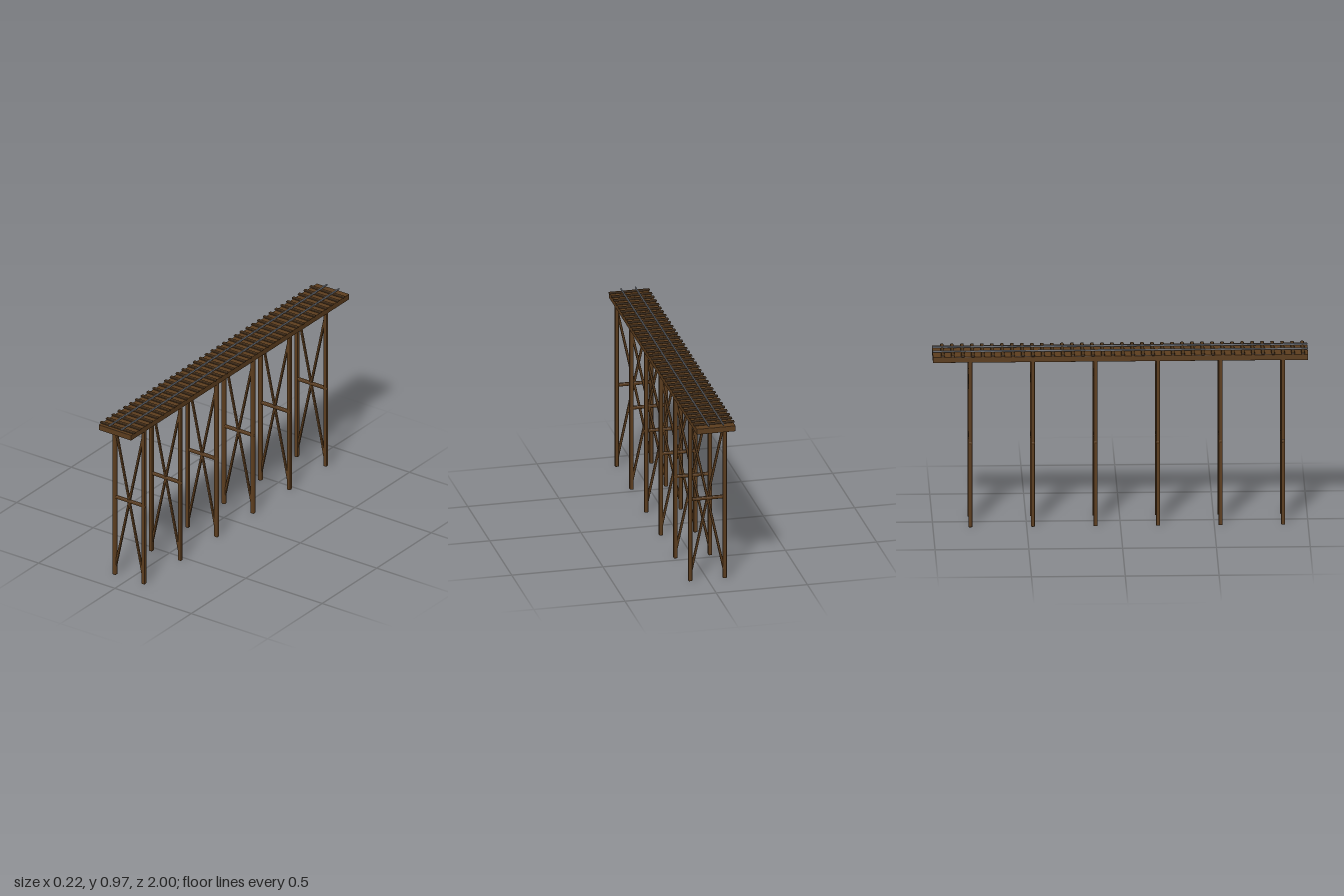
import * as THREE from 'three';
import { RoundedBoxGeometry } from 'three/addons/geometries/RoundedBoxGeometry.js';

const timber = new THREE.MeshStandardMaterial({ color: 0x5c3d1e });
timber.name = 'brown timber';
const darkTimber = new THREE.MeshStandardMaterial({ color: 0x4e351b });
darkTimber.name = 'dark timber';
const steel = new THREE.MeshStandardMaterial({ color: 0x8a8f98 });
steel.name = 'grey steel';

// Timber or rail with rounded edges, placed by its centre
function beam(parent, name, size, pos, material, radius) {
  const geometry = new RoundedBoxGeometry(size[0], size[1], size[2], 2, radius);
  const mesh = new THREE.Mesh(geometry, material);
  mesh.name = name;
  mesh.position.set(...pos);
  parent.add(mesh);
  return mesh;
}

// One support frame: two posts, a cross beam and an X of braces
function createBent(z) {
  const bent = new THREE.Group();
  bent.name = 'supportFrame';
  bent.position.z = z;
  const run = 0.188, rise = 0.872;
  for (const side of [-1, 1]) {
    beam(bent, side > 0 ? 'leftPost' : 'rightPost', [0.0215, 0.925, 0.0215], [side * 0.0945, 0.4625, 0], timber, 0.005);
    const brace = beam(bent, 'diagonalBrace', [0.0135, Math.hypot(run, rise), 0.0125], [0, 0.469, side * 0.001], timber, 0.004);
    brace.rotation.z = side * Math.atan2(run, rise);
  }
  beam(bent, 'crossBeam', [0.213, 0.018, 0.0175], [0, 0.468, 0], timber, 0.005);
  return bent;
}

export function createModel() {
  const model = new THREE.Group();
  model.name = 'railwayTrestle';

  // Deck
  beam(model, 'deck', [0.212, 0.031, 2], [0, 0.9355, 0], timber, 0.001);

  // Support frames
  for (let i = 0; i < 6; i++) model.add(createBent(-0.8 + i / 3));

  // Cross ties
  const ties = new THREE.Group();
  ties.name = 'crossTies';
  for (let i = 1; i <= 37; i++) {
    beam(ties, 'crossTie', [0.225, 0.0095, 0.019], [0, 0.9555, -1 + i * 0.16 / 3], darkTimber, 0.004);
  }
  model.add(ties);

  // Rails
  for (const side of [-1, 1]) {
    beam(model, side > 0 ? 'leftRail' : 'rightRail', [0.0065, 0.009, 2], [side * 0.04, 0.9635, 0], steel, 0.002);
  }
  return model;
}
